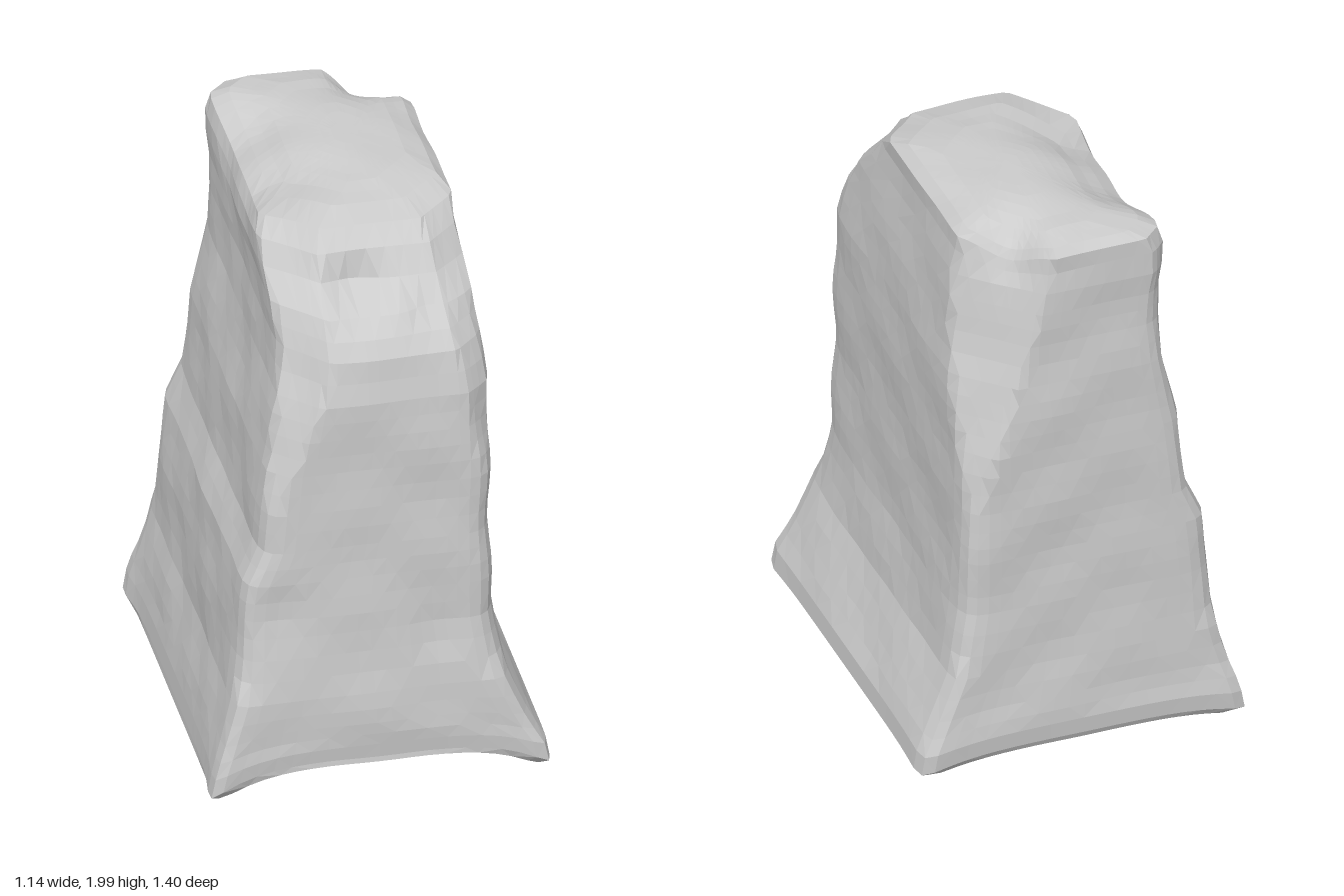
import * as THREE from 'three';

// Cross-sections from bottom to top: y, x min, x max, z back, z front
const SECTIONS = [
  [0.04, -0.01, 0.01, -0.01, 0.01],
  [0.03, -0.32, 0.32, -0.42, 0.42],
  [0.005, -0.55, 0.55, -0.67, 0.67],
  [0.03, -0.59, 0.585, -0.705, 0.71],
  [0.1, -0.575, 0.575, -0.71, 0.71],
  [0.22, -0.54, 0.52, -0.695, 0.7],
  [0.37, -0.49, 0.455, -0.685, 0.685],
  [0.6, -0.475, 0.42, -0.68, 0.665],
  [0.8, -0.45, 0.41, -0.68, 0.66],
  [0.92, -0.4, 0.405, -0.68, 0.655],
  [1.2, -0.37, 0.405, -0.68, 0.65],
  [1.45, -0.315, 0.4, -0.675, 0.645],
  [1.6, -0.3, 0.385, -0.67, 0.61],
  [1.72, -0.305, 0.37, -0.67, 0.54],
  [1.8, -0.315, 0.36, -0.675, 0.44],
  [1.88, -0.315, 0.35, -0.675, 0.38],
  [1.94, -0.295, 0.345, -0.67, 0.31],
  [1.97, -0.24, 0.31, -0.645, 0.22],
  [1.99, -0.14, 0.24, -0.56, 0.11],
  [2.0, 0.06, 0.08, -0.17, -0.15],
];

// Worn vertical edges: x sign, z sign, bevel low down, bevel at the top
const BEVELS = [[1, 1, 0.05, 0.13], [-1, 1, 0.03, 0.18], [1, -1, 0.03, 0.25], [-1, -1, 0.03, 0.07]];

// Local pushes: centre x, y, z, radius, then shift x, y, z
const DENTS = [
  [-0.03, 1.78, 0.46, 0.09, 0, -0.02, -0.06],
  [-0.03, 1.64, 0.58, 0.12, 0, 0, 0.015],
  [0.2, 1.74, 0.52, 0.07, 0, 0, -0.04],
  [0.22, 1.96, -0.54, 0.11, -0.02, -0.07, 0.02],
  [-0.28, 1.96, -0.32, 0.17, 0.02, -0.06, 0],
  [-0.28, 1.96, -0.02, 0.18, 0.02, -0.06, 0],
  [0.2, 0.55, 0.66, 0.09, 0, 0, -0.02],
  [-0.35, 0.7, 0.66, 0.1, 0, 0, -0.02],
];

// Gentle worn unevenness
const ripple = (x, y, z) =>
  Math.sin(7 * x + 11 * y + 2) * Math.sin(9 * z - 6 * y) + 0.6 * Math.sin(17 * y + 13 * z) * Math.sin(15 * x - 8 * z + 1);

function shapePoint([y, x0, x1, z0, z1], u, w) {
  // u, w run from -1 to 1 across the width and depth of the section
  let x = (x0 + x1) / 2 + u * (x1 - x0) / 2, z = (z0 + z1) / 2 + w * (z1 - z0) / 2;
  let h = y;
  const base = Math.max(0, 1 - y / 0.35);
  const midX = Math.max(0, 1 - u ** 4), midZ = Math.max(0, 1 - w ** 6);

  // Faces curve inward between the flared feet
  if (y > 0.02 && y < 1.9) {
    z -= Math.sign(w) * midX * w * w * (0.01 + (w > 0 ? 0.035 : 0.015) * base);
    x -= Math.sign(u) * midZ * u * u * (0.005 + (u < 0 ? 0.04 : 0.012) * base);
    // The front edge turns in on one side
    if (w > 0 && u > 0) x *= 1 - 0.06 * w ** 6 * (1 - base);
  }

  // Bevelled vertical edges that widen towards the top
  for (const [sx, sz, low, high] of BEVELS) {
    const c = Math.min(THREE.MathUtils.lerp(low, high, THREE.MathUtils.smoothstep(y, 0.7, 1.85)), (x1 - x0) * 0.4);
    const inX = sx > 0 ? x1 - x : x - x0, inZ = sz > 0 ? z1 - z : z - z0;
    const e = Math.max(0, c - inX - inZ) * Math.min(1, y / 0.35) / 2;
    x -= sx * e;
    z -= sz * e;
  }

  // Lower edge arches up between the feet, most at the front
  const rim = y < 0.04 ? Math.min(1, Math.hypot(x / 0.57, z / 0.69)) : 1;
  h += (Math.max(0, w) ** 6 * 0.1 + Math.max(0, -w) ** 6 * 0.045) * midX * base * rim;
  h += u ** 6 * midZ * 0.015 * base * rim;

  const p = new THREE.Vector3(x, h, z);
  for (const [cx, cy, cz, r, dx, dy, dz] of DENTS) {
    const f = Math.exp(-((x - cx) ** 2 + (h - cy) ** 2 + (z - cz) ** 2) / (r * r));
    p.add(new THREE.Vector3(dx, dy, dz).multiplyScalar(f));
  }
  const k = 0.005 * ripple(x, h, z);
  if (y > 0.15) { p.x += k * u; p.z += k * w; }
  if (y > 1.85) p.y += k;
  p.y = THREE.MathUtils.clamp(p.y, 0, 2);
  return p;
}

function loft() {
  // Subdivide between the given sections
  const rows = [];
  for (let i = 0; i < SECTIONS.length - 1; i++) {
    const a = SECTIONS[i], b = SECTIONS[i + 1];
    const gap = Math.max(...a.map((v, k) => Math.abs(v - b[k])));
    const steps = Math.max(1, Math.round(gap / 0.07));
    for (let s = 0; s < steps; s++) rows.push(a.map((v, k) => v + (b[k] - v) * s / steps));
  }
  rows.push(SECTIONS[SECTIONS.length - 1]);

  const N = 80, pos = [], index = [];
  rows.forEach((row, i) => {
    const n = row[0] < 0.4 ? 24 : 12;
    for (let j = 0; j < N; j++) {
      // Walk around a square with lightly rounded corners, starting at +x
      const t = j / N * 4 + 0.5, side = Math.floor(t) % 4, v = (t % 1) * 2 - 1;
      const [c, s] = [[1, v], [-v, 1], [-1, -v], [v, -1]][side];
      const d = (Math.abs(c) ** n + Math.abs(s) ** n) ** (1 / n);
      pos.push(...shapePoint(row, c / d, s / d).toArray());
      if (i === rows.length - 1) continue;
      const a = i * N + j, b = i * N + (j + 1) % N, e = a + N, f = b + N;
      if ((i + j) % 2) index.push(a, e, b, b, e, f);
      else index.push(a, e, f, a, f, b);
    }
  });
  // Close both ends
  const last = (rows.length - 1) * N;
  for (let j = 1; j < N - 1; j++) index.push(0, j, j + 1, last, last + j + 1, last + j);

  const geo = new THREE.BufferGeometry();
  geo.setAttribute('position', new THREE.Float32BufferAttribute(pos, 3));
  geo.setIndex(index);
  geo.computeVertexNormals();
  return geo;
}

export function createModel() {
  const group = new THREE.Group();
  group.name = 'weatheredStoneBlock';
  const body = new THREE.Mesh(loft(), new THREE.MeshStandardMaterial({ color: 0xcccccc, flatShading: true }));
  body.name = 'stoneBody';
  group.add(body);
  return group;
}
